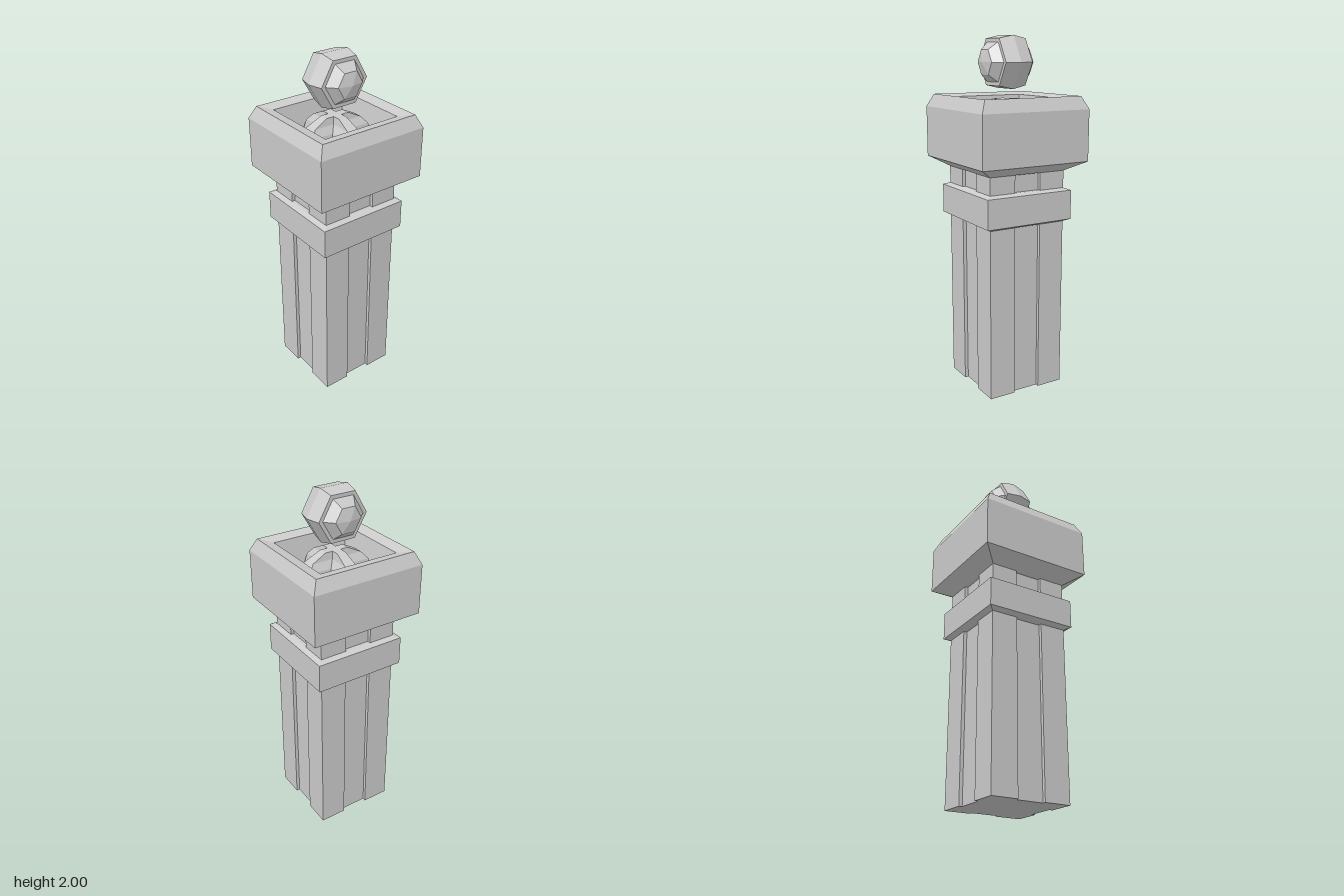
import * as THREE from 'three';

const material = new THREE.MeshStandardMaterial({ color: 0xcccccc, flatShading: true });

// Stacks rectangular rings [y, halfWidth, halfDepth] into a closed solid.
function loft(rings) {
  const pos = [];
  const corners = rings.map(([y, w, d = w]) => [[-w, y, d], [w, y, d], [w, y, -d], [-w, y, -d]]);
  const quad = (a, b, c, d) => pos.push(...a, ...b, ...c, ...a, ...c, ...d);
  for (let i = 0; i < corners.length - 1; i++) {
    const lo = corners[i], hi = corners[i + 1];
    for (let k = 0; k < 4; k++) {
      const n = (k + 1) % 4;
      quad(lo[k], lo[n], hi[n], hi[k]);
    }
  }
  const [a, b, c, d] = corners[0];
  quad(d, c, b, a);
  quad(...corners[corners.length - 1]);
  const geo = new THREE.BufferGeometry();
  geo.setAttribute('position', new THREE.Float32BufferAttribute(pos, 3));
  geo.computeVertexNormals();
  return geo;
}

export function createModel() {
  const group = new THREE.Group();
  const add = (name, geo) => {
    const mesh = new THREE.Mesh(geo, material);
    mesh.name = name;
    group.add(mesh);
    return mesh;
  };

  // Square shaft with a shallow groove down each side
  const R = 0.235, G = 0.08, D = 0.215;
  const side = [[-R, -R], [-G, -R], [-G, -D], [G, -D], [G, -R]];
  const outline = [];
  for (let k = 0; k < 4; k++) {
    for (const [x, y] of side) {
      outline.push(new THREE.Vector2(x, y).rotateAround(new THREE.Vector2(), k * Math.PI / 2));
    }
  }
  const shaft = new THREE.ExtrudeGeometry(new THREE.Shape(outline), { depth: 1.275, bevelEnabled: false });
  add('shaft', shaft.rotateX(-Math.PI / 2));

  // Bevelled band around the shaft
  add('collar', loft([[0.98, 0.235], [0.995, 0.267], [1.16, 0.267], [1.172, 0.235]]));

  // Bevelled head with a sunken basin
  add('head', loft([
    [1.27, 0.235], [1.325, 0.331], [1.61, 0.331], [1.68, 0.298],
    [1.665, 0.232], [1.5, 0.206],
  ]));

  // Two crossed, stepped ridges in the basin
  const ridge = [[1.5, 0.206, 0.069], [1.58, 0.185, 0.055], [1.62, 0.15, 0.032], [1.66, 0.07, 0.025]];
  for (const turn of [0, 1]) {
    add(turn ? 'ridgeFrontToBack' : 'ridgeSideToSide', loft(ridge)).rotation.y = turn * Math.PI / 2;
  }

  // Six-sided ball lying on its side, with a raised middle band
  const half = [[0.165, 0], [0.145, 0.083], [0.122, 0.083], [0.077, 0.132], [0, 0.15]];
  const profile = [...half.slice(1).reverse().map(([r, x]) => [r, -x]), ...half]
    .map(([r, x]) => new THREE.Vector2(r, x));
  const ball = new THREE.LatheGeometry(profile, 6).rotateZ(-Math.PI / 2);
  add('ball', ball).position.y = 1.858;

  return group;
}
